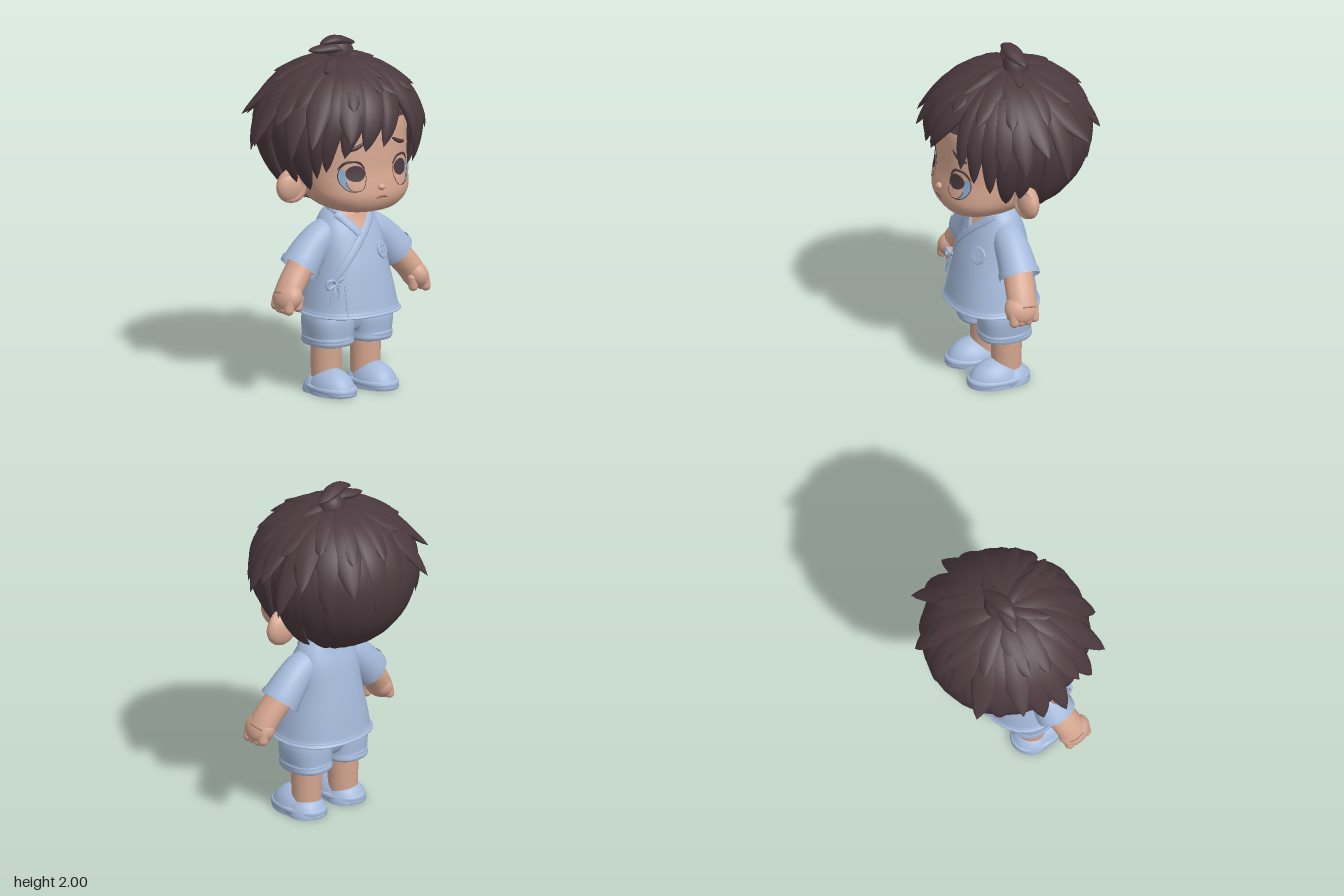
import * as THREE from 'three';

const V = (x, y, z) => new THREE.Vector3(x, y, z);
const RAD = Math.PI / 180;
const mat = (name, color, side = THREE.FrontSide) => {
  const m = new THREE.MeshStandardMaterial({ color, side });
  m.name = name;
  return m;
};

// Skin over a stack of rings
function grid(rings, closed = true) {
  const n = rings[0].length, idx = [];
  for (let i = 0; i < rings.length - 1; i++)
    for (let j = 0; j < (closed ? n : n - 1); j++) {
      const k = (j + 1) % n, a = i * n + j, b = i * n + k, c = b + n, d = a + n;
      idx.push(a, b, d, b, c, d);
    }
  const g = new THREE.BufferGeometry().setFromPoints(rings.flat());
  g.setIndex(idx);
  g.computeVertexNormals();
  return g;
}

// Rounded body from rows of [y, half width, front z, back z]
function loft(rows, cx = 0, p = 2.3, n = 36, seg = 48) {
  const a = new THREE.CatmullRomCurve3(rows.map(r => V(r[0], r[1], 0)), false, 'catmullrom', 0.5);
  const b = new THREE.CatmullRomCurve3(rows.map(r => V(r[2], r[3], 0)), false, 'catmullrom', 0.5);
  const sp = v => Math.sign(v) * Math.abs(v) ** (2 / p);
  const rings = [];
  for (let i = 0; i <= n; i++) {
    const q = a.getPoint(i / n), z = b.getPoint(i / n), ring = [];
    for (let j = 0; j < seg; j++) {
      const t = j / seg * Math.PI * 2;
      ring.push(V(cx + Math.max(q.y, 0) * sp(Math.sin(t)), q.x, (z.x + z.y) / 2 + (z.x - z.y) / 2 * sp(Math.cos(t))));
    }
    rings.push(ring);
  }
  return grid(rings);
}

// Elliptic section swept along points; w is across, t is along the normal
function sweep(pts, normal, w, t, seg = 10) {
  const n = pts.length - 1;
  return grid(pts.map((p, i) => {
    const T = pts[Math.min(i + 1, n)].clone().sub(pts[Math.max(i - 1, 0)]).normalize();
    const B = T.clone().cross(normal(i)).normalize(), N = B.clone().cross(T);
    return Array.from({ length: seg }, (_, j) => {
      const a = j / seg * Math.PI * 2;
      return p.clone().addScaledVector(B, w(i / n) * Math.sin(a)).addScaledVector(N, t(i / n) * Math.cos(a));
    });
  }));
}
const smooth = (pts, n = 16) => new THREE.CatmullRomCurve3(pts.map(p => V(...p))).getPoints(n);
const leafShape = w => u => w * Math.max(0, Math.sin(Math.PI * (0.15 + 0.85 * u))) ** 0.65;
const bothTips = w => u => w * Math.max(0, Math.sin(Math.PI * u)) ** 0.6;

export function createModel() {
  const root = new THREE.Group();
  root.name = 'boyFigure';
  const skin = mat('skin', 0xd5a690), cloth = mat('blueCloth', 0xa5bada, THREE.DoubleSide);
  const hair = mat('darkHair', 0x4b3a3f, THREE.DoubleSide), eyeBlue = mat('eyeBlue', 0x8aa9ca);
  const line = mat('lipBrown', 0x7d5348);
  const add = (name, g, m, pos) => {
    const o = new THREE.Mesh(g, m);
    o.name = name;
    if (pos) o.position.set(...pos);
    root.add(o);
    return o;
  };
  const ball = (name, m, pos, s, rz = 0) => {
    const o = add(name, new THREE.SphereGeometry(1, 28, 20), m, pos);
    o.scale.set(...s);
    o.rotation.z = rz;
    return o;
  };
  const ray = new THREE.Raycaster();
  const project = (mesh, x, y, off) => {
    ray.set(V(x, y, 3), V(0, 0, -1));
    const h = ray.intersectObject(mesh)[0];
    return h ? { p: h.point.addScaledVector(V(0, 0, 1), off), n: h.face.normal.clone() } : { p: V(x, y, 0.1), n: V(0, 0, 1) };
  };

  // Head, neck, nose and ears
  const head = add('head', loft([[1.06, 0, .2, .2], [1.067, .15, .35, .04], [1.1, .235, .4, -.04], [1.16, .288, .424, -.1],
    [1.23, .308, .418, -.17], [1.32, .318, .4, -.23], [1.45, .33, .392, -.28], [1.6, .33, .375, -.28], [1.74, .25, .27, -.2], [1.82, 0, .05, .05]], 0, 2.4), skin);
  add('neck', new THREE.CylinderGeometry(.092, .1, .2, 32), skin, [0, 1.04, .08]);
  ball('nose', skin, [-.005, 1.22, .418], [.024, .019, .022]);
  for (const s of [1, -1]) {
    ball('ear', skin, [s * .35, 1.202, .045], [.1, .098, .056], s * -.25);
    const rim = add('earRim', new THREE.TorusGeometry(.066, .022, 12, 28), skin, [s * .362, 1.206, .065]);
    rim.rotation.y = s * .35;
    rim.scale.y = 1.12;
  }

  // Face details laid on the head
  const drape = (name, m, cx, cy, rx, ry, off, inner = 0.001, a0 = 0, len = Math.PI * 2) => {
    const g = new THREE.RingGeometry(inner, 1, 32, 4, a0, len), q = g.attributes.position;
    for (let i = 0; i < q.count; i++) {
      const { p } = project(head, cx + q.getX(i) * rx, cy + q.getY(i) * ry, off);
      q.setXYZ(i, p.x, p.y, p.z);
    }
    g.computeVertexNormals();
    add(name, g, m);
  };
  const stroke = (name, target, pts, w, t, m, off = 0, taper = false) => {
    const h = smooth(pts.map(p => [p[0], p[1], 0])).map(p => project(target, p.x, p.y, off));
    const f = taper ? r => u => r * Math.sin(Math.PI * (.06 + .92 * u)) ** .6 : r => () => r;
    add(name, sweep(h.map(a => a.p), i => h[i].n, f(w), f(t)), m);
  };
  for (const s of [1, -1]) {
    const x = s * .163 - .006, xi = x - s * .013;
    drape('eyeOutline', hair, x, 1.29, .073, .086, .002, .95);
    drape('eyeBlueCrescent', eyeBlue, x, 1.29, .069, .081, .002, .4, s > 0 ? -1.25 : Math.PI - .65, 1.9);
    drape('lowerIrisEdge', hair, xi, 1.262, .052, .056, .004, .93, Math.PI, Math.PI);
    drape('lowerIris', skin, xi, 1.262, .0485, .052, .004);
    drape('iris', hair, xi, 1.308, .052, .045, .006);
    stroke('upperLash', head, [[x - .07, 1.332], [x - .035, 1.37], [x + .035, 1.37], [x + .07, 1.332]], .007, .006, hair, 0, true);
    stroke('eyebrow', head, [[s * .2, 1.437], [s * .145, 1.452], [s * .092, 1.482]], .0125, .012, hair, 0, true);
  }
  stroke('mouth', head, [[-.045, 1.16], [-.005, 1.166], [.035, 1.158]], .005, .005, line, 0, true);

  // Wrap shirt with a rolled hem
  const shirt = add('shirt', loft([[.475, 0, .1, .1], [.455, .268, .34, -.132], [.475, .28, .352, -.143], [.497, .272, .345, -.138], [.6, .252, .325, -.125], [.75, .22, .29, -.1],
    [.9, .2, .235, -.07], [.99, .168, .19, -.038], [1.04, .125, .172, -.02], [1.06, .085, .14, .02]], 0, 2.3, 60), cloth);
  const vee = [];
  for (let i = 0; i <= 8; i++) {
    const ring = [];
    for (let j = -4; j <= 4; j++) ring.push(project(shirt, j / 4 * .1 * i / 8, .912 + .13 * i / 8, .005).p);
    vee.push(ring);
  }
  add('chestOpening', grid(vee, false), skin);
  stroke('underCollar', shirt, [[-.118, 1.025], [-.075, .98], [-.01, .905]], .024, .009, cloth, .002);
  stroke('wrapCollar', shirt, [[.118, 1.025], [.08, .98], [-.03, .875], [-.13, .765], [-.205, .665]], .024, .009, cloth, .002);
  const back = smooth([[.114, 1.02, .15], [.115, 1.038, .07], [.07, 1.05, 0], [0, 1.053, -.016], [-.07, 1.05, 0], [-.115, 1.038, .07], [-.114, 1.02, .15]], 28);
  add('backCollar', sweep(back, i => V(back[i].x, 0, back[i].z - .08), () => .02, () => .011), cloth);
  stroke('wrapEdge', shirt, [[-.155, .64], [-.157, .55], [-.16, .47]], .005, .004, cloth);

  // Chest button
  const bp = project(shirt, .127, .803, 0), button = new THREE.Group();
  button.name = 'chestButton';
  button.position.copy(bp.p);
  button.quaternion.setFromUnitVectors(V(0, 0, 1), bp.n);
  const disc = new THREE.Shape().absarc(0, 0, .044, 0, Math.PI * 2);
  for (const [x, y] of [[1, 1], [1, -1], [-1, 1], [-1, -1]])
    disc.holes.push(new THREE.Path().absarc(x * .014, y * .014, .007, 0, Math.PI * 2, true));
  button.add(new THREE.Mesh(new THREE.ExtrudeGeometry(disc, { depth: .007, bevelEnabled: false, curveSegments: 24 }), cloth));
  button.add(new THREE.Mesh(new THREE.TorusGeometry(.044, .007, 8, 36), cloth));
  root.add(button);

  // Side tie
  const tie = project(shirt, -.198, .652, .015).p;
  for (const s of [1, -1]) {
    const tube = (name, pts) => add(name, new THREE.TubeGeometry(new THREE.CatmullRomCurve3(pts.map(p => V(...p))), 20, .0095, 8), cloth, tie.toArray());
    tube('bowLoop', [[0, 0, 0], [s * .03, .028, .012], [s * .062, .018, .005], [s * .055, -.02, .005], [0, 0, .004]]);
    tube('bowTail', [[0, 0, 0], [s * .018, -.04, .012], [s * .022 - .01, -.075, .012], [s * .028 - .015, -.115, .014]]);
  }
  ball('bowKnot', cloth, tie.toArray(), [.018, .018, .015]);

  // Sleeves, arms and hands
  const Z = () => V(0, 0, 1);
  for (const s of [1, -1]) {
    const sleeve = smooth([[s * .1, .92, .075], [s * .18, .885, .078], [s * .26, .815, .08], [s * .332, .73, .085]], 20);
    add('sleeve', sweep(sleeve, Z, u => .085 + .026 * u, u => .082 + .03 * u, 32), cloth);
    add('sleeveHem', sweep(sleeve.slice(-3), Z, () => .115, () => .116, 32), cloth);
    const arm = smooth([[s * .24, .85, .085], [s * .335, .73, .095], [s * .405, .645, .11], [s * .45, .575, .12]], 20);
    add('arm', sweep(arm, Z, u => u === 1 ? 0 : .08 - .012 * u, u => u === 1 ? 0 : .084, 24), skin);
    ball('palm', skin, [s * .438, .592, .124], [.068, .09, .098], s * .5);
    const finger = (name, x, y, z, r, len, rz) => {
      add(name, new THREE.CapsuleGeometry(r, len, 6, 14), skin, [x, y, z]).rotation.z = rz;
    };
    for (let k = 0; k < 4; k++) finger('finger', s * .468, .552 + (k === 0 ? .01 : 0), .064 + k * .04, .029, .045, s * .2);
    finger('thumb', s * .394, .558, .168, .027, .05, s * .15);
  }

  // Shorts, legs and shoes
  add('shortsSeat', loft([[.33, 0, .1, .06], [.345, .12, .17, -.01], [.41, .23, .2, -.045], [.52, .235, .21, -.06]]), cloth);
  for (const s of [1, -1]) {
    add('shortsLeg', loft([[.31, 0, .09, .08], [.28, .118, .224, -.055], [.33, .129, .232, -.058], [.42, .137, .232, -.056], [.5, .12, .2, -.04]], s * .132, 2.5), cloth);
    add('shortsCuff', loft([[.3, .09, .2, -.03], [.276, .12, .228, -.058], [.298, .127, .235, -.061], [.322, .127, .234, -.06], [.328, .1, .21, -.04]], s * .135, 2.4), cloth);
    add('leg', new THREE.CylinderGeometry(.09, .083, .36, 32), skin, [s * .136, .22, .075]);
    add('sole', loft([[.002, 0, .13, .12], [.002, .1, .295, -.04], [.022, .117, .312, -.055], [.042, .117, .31, -.054], [.052, .104, .296, -.042]], s * .145, 2.2, 20), cloth);
    const dome = new THREE.SphereGeometry(1, 32, 14, 0, Math.PI * 2, 0, Math.PI / 2);
    add('shoeToe', dome, cloth, [s * .145, 0, .143]).scale.set(.118, .143, .166);
    add('shoeHeel', dome, cloth, [s * .145, 0, .06]).scale.set(.115, .112, .114);
  }

  // Hair cap: a grooved shell whose hairline drops from forehead to nape
  const dir = (az, phi, lift) => {
    const c = Math.cos(phi * RAD), s = Math.sin(phi * RAD), ca = Math.cos(az * RAD);
    const r = (.431 + lift) * (c < 0 ? s ** (.8 + .3 * Math.max(0, -ca)) : s);
    return V(Math.sin(az * RAD) * r * (1 + .1 * Math.min(c, 0)), 1.5 + c * ((c > 0 ? .352 : .445) + lift), ca * r);
  };
  const hairline = [[0, 72], [35, 75], [55, 98], [66, 120], [84, 120], [92, 122], [100, 146], [112, 155], [135, 162], [180, 164]];
  const low = az => {
    const a = Math.abs(((az + 540) % 360) - 180);
    const i = Math.max(1, hairline.findIndex(h => h[0] >= a)), [p, q] = [hairline[i - 1], hairline[i]];
    return p[1] + (q[1] - p[1]) * (a - p[0]) / (q[0] - p[0]);
  };
  const shell = [];
  for (let i = 24; i >= 0; i--)
    shell.push(Array.from({ length: 120 }, (_, j) => dir(j * 3, low(j * 3) * i / 24, .007 * Math.cos(j * 3 * 24 * RAD) * i / 24)));
  add('hairCap', grid(shell), hair);

  // Hair locks running over the cap to a flicked tip
  const mid = V(0, 1.5, 0);
  const lock = (name, az0, phi0, az1, phi1, w, flick, t = .028) => {
    const pts = Array.from({ length: 17 }, (_, i) => {
      const u = i / 16;
      return dir(az0 + (az1 - az0) * u, phi0 + (phi1 - phi0) * u, .014 + flick * u ** 4.5);
    });
    add(name, sweep(pts, i => pts[i].clone().sub(mid), leafShape(w), leafShape(t)), hair);
  };
  let seed = 7;
  const jit = a => ((seed = (seed * 16807) % 2147483647) / 2147483647 - .5) * 2 * a;
  for (let az = 105; az <= 255; az += 15) {
    lock('napeLock', az, 50, az + jit(6), low(az) + jit(3), .085, .01);
    lock('lowerBackLock', az + 7, 40, az + 7 + jit(6), 126 + jit(8), .08, .02);
  }
  for (const [az, phi, flick] of [[40, 90, .03], [62, 95, .05], [76, 96, .09], [90, 84, .1], [103, 102, .12], [119, 82, .12], [135, 104, .04],
    [151, 88, .07], [170, 106, .03], [188, 88, .03], [212, 90, .1], [226, 108, .04], [240, 82, .1], [254, 102, .09], [267, 96, .12],
    [282, 80, .08], [294, 100, .1], [309, 92, .12], [332, 90, .07]])
    lock('flickedLock', az + jit(14), 14, az, phi, .09, flick, .034);
  for (let az = 10; az < 360; az += 29) lock('crownLock', az + jit(18), 4, az + jit(8), 58 + jit(10), .08, .05, .034);

  // Fringe and the strands before the ears
  for (const [a0, a1, phi, w] of [[26, -3, 95, .075], [6, -17, 97, .085], [-12, -32, 101, .085], [-30, -46, 112, .075], [-46, -54, 118, .065],
    [33, 30, 99, .06], [42, 40, 109, .065], [52, 52, 117, .065]])
    lock('fringeLock', a0, 20, a1, phi, w, .022, .036);
  for (const s of [1, -1]) {
    lock('sideStrand', s * 66, 50, s * 64, 131, .075, .01);
    lock('sideStrand', s * 78, 50, s * 76, 126, .07, .01);
  }

  // Crown tuft
  lock('tuftLock', 20, 3, 14, 42, .05, .05, .04);
  lock('tuftLock', 95, 2, 82, 28, .055, .04, .045);
  lock('tuftLock', -60, 3, -50, 32, .045, .05, .035);
  const leafA = smooth([[-.11, 1.962, -.02], [-.04, 1.978, -.015], [.02, 1.97, -.02], [.08, 1.95, -.03], [.145, 1.935, -.04]], 18);
  const leafB = smooth([[-.16, 1.925, -.06], [-.1, 1.925, -.045], [-.02, 1.93, -.02], [.06, 1.905, -.01], [.14, 1.865, -.02]], 18);
  for (const l of [leafA, leafB])
    add('tuftLeaf', sweep(l, () => V(0, 1, 0), bothTips(.05), bothTips(.027)), hair);
  const stalk = smooth([[.05, 1.8, -.03], [.04, 1.87, -.03], [.02, 1.92, -.02], [-.01, 1.97, -.015]], 14);
  add('tuftStalk', sweep(stalk, Z, leafShape(.085), leafShape(.07)), hair);
  return root;
}
